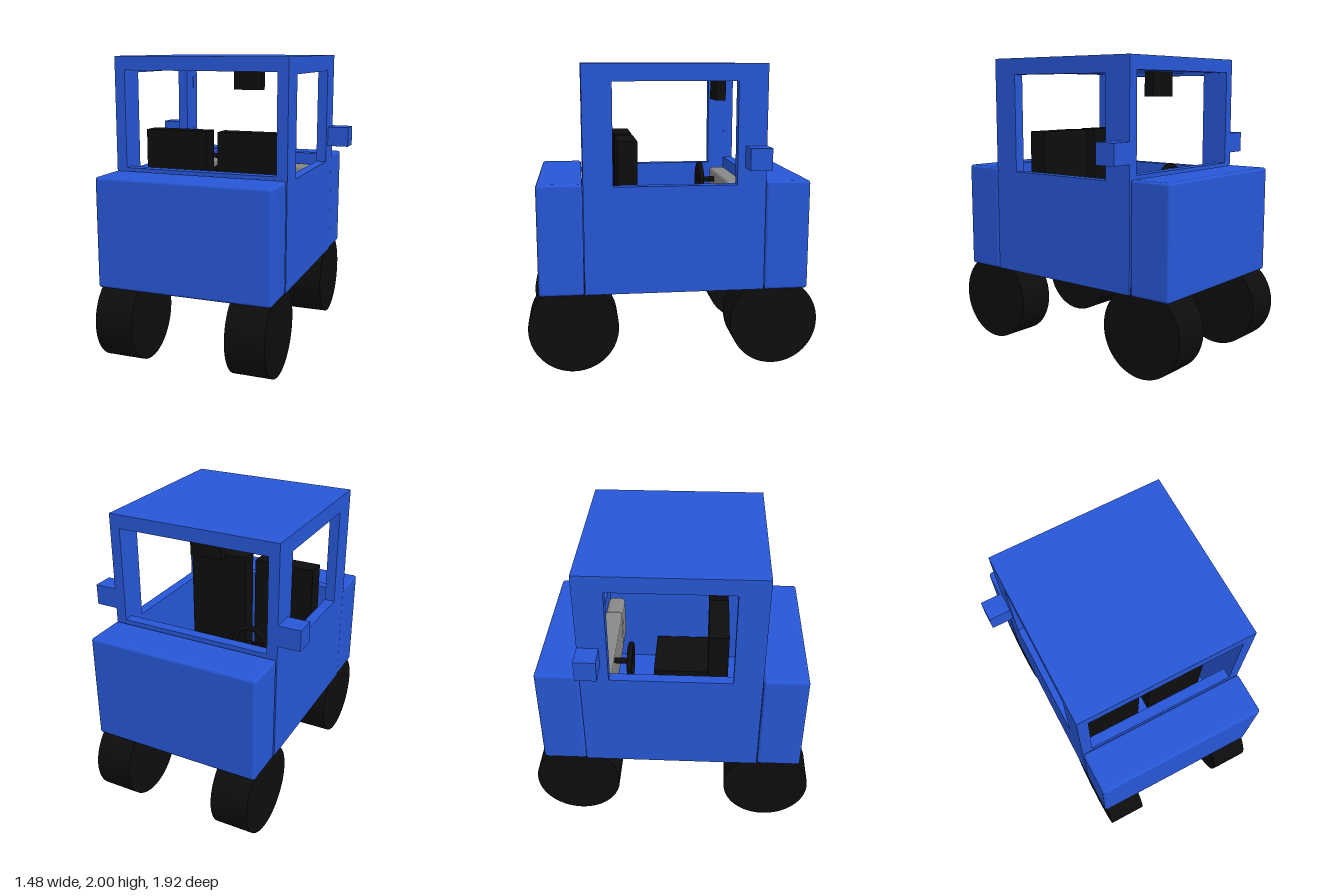
import * as THREE from 'three';
import { RoundedBoxGeometry } from 'three/addons/geometries/RoundedBoxGeometry.js';

export function createModel() {
  const model = new THREE.Group();
  const blue = new THREE.MeshStandardMaterial({ color: 0x2757d6 });
  const black = new THREE.MeshStandardMaterial({ color: 0x0d0d0d });
  const grey = new THREE.MeshStandardMaterial({ color: 0x888888 });

  const add = (name, geometry, material, x, y, z) => {
    const mesh = new THREE.Mesh(geometry, material);
    mesh.name = name;
    mesh.position.set(x, y, z);
    model.add(mesh);
    return mesh;
  };
  // Box given by its limits on each axis; a radius rounds its edges
  const box = (name, material, [x0, x1], [y0, y1], [z0, z1], radius = 0) => {
    const size = [x1 - x0, y1 - y0, z1 - z0];
    const geometry = radius ? new RoundedBoxGeometry(...size, 3, radius) : new THREE.BoxGeometry(...size);
    return add(name, geometry, material, (x0 + x1) / 2, (y0 + y1) / 2, (z0 + z1) / 2);
  };
  const rect = (shape, w, y0, y1) =>
    shape.moveTo(-w, y0).lineTo(w, y0).lineTo(w, y1).lineTo(-w, y1).closePath();

  // Upright wall with a window opening
  const T = 0.07, W = 0.59;
  const wall = (halfWidth, openHalf, openY0, openY1) => {
    const shape = rect(new THREE.Shape(), halfWidth, 0.525, 1.91);
    shape.holes.push(rect(new THREE.Path(), openHalf, openY0, openY1));
    return new THREE.ExtrudeGeometry(shape, { depth: T, bevelEnabled: false });
  };

  // Cab: hollow shell with four window walls, floor and roof
  const sideWall = wall(W, 0.4, 1.23, 1.89);
  const endWall = wall(W - T, W - T - 0.001, 1.27, 1.909);
  add('cabFrontWall', endWall, blue, 0, 0, -W);
  add('cabBackWall', endWall, blue, 0, 0, W - T);
  add('cabLeftWall', sideWall, blue, W - T, 0, 0).rotation.y = Math.PI / 2;
  add('cabRightWall', sideWall, blue, -W, 0, 0).rotation.y = Math.PI / 2;
  box('roof', blue, [-W, W], [1.91, 2], [-W, W]);
  box('floor', blue, [-W + T, W - T], [0.525, 0.6], [-W + T, W - T]);

  // Rounded compartments at both ends
  box('hood', blue, [-W, W], [0.52, 1.25], [-0.888, -0.594], 0.02);
  box('trunk', blue, [-W, W], [0.52, 1.25], [0.594, 0.888], 0.02);

  const wheel = new THREE.CylinderGeometry(0.295, 0.295, 0.26, 64);
  wheel.rotateZ(Math.PI / 2);
  for (const s of [-1, 1]) {
    for (const z of [-0.667, 0.667]) add('wheel', wheel, black, s * 0.445, 0.295, z);
    box('sideMirror', blue, s > 0 ? [W, 0.74] : [-0.74, -W], [1.34, 1.48], [-0.59, -0.45]);
    const seatX = s > 0 ? [0.04, 0.48] : [-0.48, -0.04];
    box('seatBack', black, seatX, [0.6, 1.505], [0.235, 0.365]);
    box('seatCushion', black, seatX, [0.6, 0.82], [-0.16, 0.235]);
  }

  // Dashboard, glove box and steering
  box('dashboard', grey, [-0.46, 0.25], [0.88, 1.2], [-0.52, -0.4], 0.02);
  box('gloveBox', grey, [0.25, 0.46], [0.88, 1.19], [-0.52, -0.4], 0.03);
  add('steeringWheel', new THREE.TorusGeometry(0.115, 0.018, 12, 40), black, -0.26, 1.137, -0.29);
  const column = new THREE.CylinderGeometry(0.02, 0.02, 0.12, 16);
  column.rotateX(Math.PI / 2);
  add('steeringColumn', column, black, -0.26, 1.137, -0.35);
  box('steeringSpoke', black, [-0.37, -0.15], [1.12, 1.154], [-0.3, -0.28]);

  box('rearViewMirror', black, [-0.11, 0.11], [1.745, 1.91], [-0.41, -0.34]);

  return model;
}
